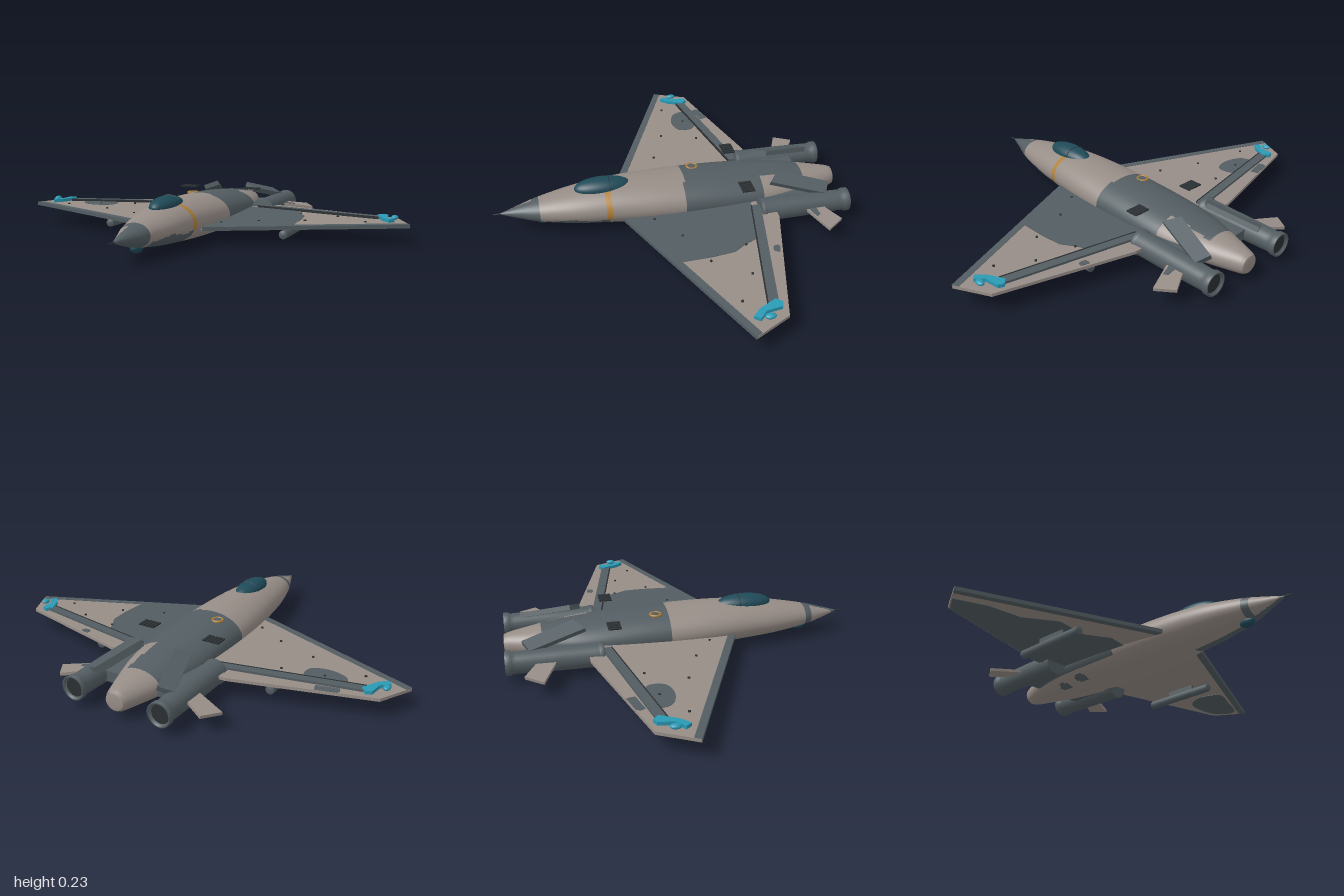
import * as THREE from 'three';

const mat = (name, color) => Object.assign(new THREE.MeshStandardMaterial({ color }), { name });
const light = mat('warmGrey', 0x978d87);
const dark = mat('slateGrey', 0x535d62);
const black = mat('nearBlack', 0x2b3033);
const glass = mat('canopyTeal', 0x1f4a58);
const cyan = mat('cyan', 0x2a9ab5);
const orange = mat('ochre', 0xb08038);

function add(parent, name, geometry, material, x = 0, y = 0, z = 0) {
  const mesh = new THREE.Mesh(geometry, material);
  mesh.name = name;
  mesh.position.set(x, y, z);
  parent.add(mesh);
  return mesh;
}

// Horizontal plate from [x, z] corners, bottom at y = 0; s mirrors it
function plate(points, thickness, s = 1) {
  const shape = new THREE.Shape(points.map(([x, z]) => new THREE.Vector2(s * x, -z)));
  return new THREE.ExtrudeGeometry(shape, { depth: thickness, bevelEnabled: false }).rotateX(-Math.PI / 2);
}

// Rounded camouflage patch through [x, z] points
function patch(points, thickness) {
  const curve = new THREE.CatmullRomCurve3(points.map(([x, z]) => new THREE.Vector3(x, 0, z)), true);
  return plate(curve.getPoints(40).slice(0, -1).map(p => [p.x, p.z]), thickness);
}

// Lathe along z from [radius, z] points, listed back to front
function turned(profile, segments = 32) {
  return new THREE.LatheGeometry(profile.map(([r, z]) => new THREE.Vector2(r, z)), segments).rotateX(Math.PI / 2);
}

// Fuselage stations: z, half width, bottom, top
const stations = [
  [0.80, 0.004, 0.100, 0.108], [0.71, 0.038, 0.073, 0.134], [0.62, 0.072, 0.052, 0.157],
  [0.46, 0.112, 0.031, 0.186], [0.30, 0.135, 0.019, 0.204], [0.12, 0.154, 0.009, 0.209],
  [-0.06, 0.163, 0.004, 0.206], [-0.24, 0.165, 0.005, 0.200], [-0.42, 0.160, 0.010, 0.187],
  [-0.56, 0.138, 0.017, 0.175], [-0.70, 0.096, 0.027, 0.157], [-0.81, 0.058, 0.037, 0.140],
  [-0.84, 0.046, 0.045, 0.130],
];

// Fuselage paint scheme: 0 light, 1 dark, 2 ochre band
function paint(x, y, z) {
  if (z > 0.62) return x > -0.012 || z < 0.655 ? 1 : 0;
  if (z > 0.29 && z < 0.318 && x > 0.055 && y > 0.085) return 2;
  if (z > 0.3 && z < 0.6 && x > 0.01 && y < 0.085 + 0.006 * Math.sin(z * 30)) return 1;
  if (x > 0.06 && y > 0.1 && z < -0.45) return 0;
  if (z < -0.07 + 0.05 * Math.max(0, x) && z > -0.67 && y > 0.06) return 1;
  const spots = [[-0.08, -0.48], [-0.1, -0.34], [0.1, -0.33]];
  if (y < 0.08 && spots.some(([a, b]) => Math.hypot(x - a, (z - b) * 0.7) < 0.026)) return 1;
  return 0;
}

function fuselageGeometry() {
  const rows = 150, cols = 64, pos = [], faces = [[], [], []];
  const upper = new THREE.CatmullRomCurve3(stations.map(([z, w, , t]) => new THREE.Vector3(w, t, z)), false, 'catmullrom');
  const lower = new THREE.CatmullRomCurve3(stations.map(([z, , b]) => new THREE.Vector3(0, b, z)), false, 'catmullrom');
  for (let i = 0; i <= rows; i++) {
    const u = upper.getPoint(i / rows), l = lower.getPoint(i / rows);
    for (let j = 0; j < cols; j++) {
      const a = j / cols * Math.PI * 2;
      pos.push(u.x * Math.cos(a), (u.y + l.y) / 2 + (u.y - l.y) / 2 * Math.sin(a), u.z);
    }
  }
  for (let i = 0; i < rows; i++) for (let j = 0; j < cols; j++) {
    const k = (j + 1) % cols, a = i * cols + j, b = i * cols + k, c = a + cols, d = b + cols;
    const mid = n => (pos[a * 3 + n] + pos[d * 3 + n]) / 2;
    faces[paint(mid(0), mid(1), mid(2))].push(a, c, b, b, c, d);
  }
  const g = new THREE.BufferGeometry();
  g.setAttribute('position', new THREE.Float32BufferAttribute(pos, 3));
  g.setIndex(faces.flat());
  let start = 0;
  faces.forEach((f, n) => { g.addGroup(start, f.length, n); start += f.length; });
  g.computeVertexNormals();
  return g;
}

export function createModel() {
  const model = new THREE.Group();
  model.name = 'jet';

  // Body, tail cap, nose probe and chin sensor
  add(model, 'fuselage', fuselageGeometry(), [light, dark, orange]);
  const cap = add(model, 'tailCap', new THREE.SphereGeometry(1, 24, 12), light, 0, 0.0875, -0.838);
  cap.scale.set(0.045, 0.042, 0.006);
  add(model, 'noseProbe', new THREE.CylinderGeometry(0.003, 0.004, 0.05, 10).rotateX(Math.PI / 2), black, 0, 0.104, 0.81);
  add(model, 'chinSensor', new THREE.SphereGeometry(0.026, 20, 14), glass, 0, 0.052, 0.605).scale.set(1, 1, 1.5);

  // Canopy with frame hoop
  add(model, 'canopy', new THREE.SphereGeometry(1, 36, 20), glass, 0, 0.192, 0.315).scale.set(0.058, 0.043, 0.135);
  const hoop = add(model, 'canopyFrame', new THREE.TorusGeometry(1, 0.03, 6, 36, Math.PI), black, 0, 0.192, 0.285);
  hoop.scale.set(0.057, 0.0425, 0.05);

  // Ring fitting on the back
  add(model, 'fillerRing', new THREE.TorusGeometry(0.024, 0.006, 8, 28).rotateX(Math.PI / 2), orange, -0.065, 0.197, -0.135);
  add(model, 'fillerCap', new THREE.CylinderGeometry(0.02, 0.02, 0.008, 24), dark, -0.065, 0.196, -0.135);

  // Wings share one slight incidence
  const wings = new THREE.Group();
  wings.name = 'wings';
  wings.position.y = 0.08;
  wings.rotation.x = 0.03;
  model.add(wings);
  const T = 0.014;
  for (const s of [1, -1]) {
    add(wings, 'wing', plate([[0.08, 0.26], [0.15, 0.23], [1, -0.14], [0.92, -0.3], [0.3, -0.47], [0.08, -0.47]], T, s), light);
    add(wings, 'leadingEdge', plate([[0.14, 0.238], [1, -0.137], [0.985, -0.165], [0.14, 0.2]], T + 0.004, s), dark, 0, -0.002);
    add(wings, 'flap', plate([[0.2, -0.365], [0.84, -0.235], [0.87, -0.275], [0.2, -0.41]], 0.01, s), dark, 0, T);
    add(wings, 'flapHinge', plate([[0.2, -0.362], [0.84, -0.232], [0.84, -0.237], [0.2, -0.367]], 0.012, s), black, 0, T);
    add(wings, 'tipLight', plate([[0.835, -0.27], [0.86, -0.295], [0.885, -0.285], [0.893, -0.215], [0.93, -0.18], [0.91, -0.155], [0.875, -0.19]]
      .map(([x, z]) => [x - 0.005, z]), 0.016, s), cyan, 0, T);
    add(wings, 'tipBulb', new THREE.SphereGeometry(1, 16, 12), cyan, s * 0.92, 0.03, -0.22).scale.set(0.016, 0.011, 0.024);
    for (const [x, z] of [[0.33, 0], [0.65, -0.23], [0.18, 0.1], [0.53, -0.08], [0.46, -0.26], [0.8, -0.14]])
      add(wings, 'fastener', new THREE.CylinderGeometry(0.006, 0.006, 0.006, 10), black, s * x, T + 0.002, z);
  }

  // Wing camouflage, above and below
  add(wings, 'leftTopCamo', plate([[0.13, 0.215], [0.505, 0.05], [0.505, -0.1], [0.495, -0.2], [0.46, -0.255], [0.43, -0.32], [0.13, -0.38]], 0.002), dark, 0, T);
  add(wings, 'rightTopCamo', patch([[-0.75, -0.29], [-0.62, -0.29], [-0.565, -0.26], [-0.57, -0.19], [-0.65, -0.165], [-0.74, -0.2]], 0.002), dark, 0, T);
  add(wings, 'rightRearCamo', plate([[-0.76, -0.33], [-0.75, -0.345], [-0.66, -0.368], [-0.65, -0.33], [-0.75, -0.305]], 0.002), dark, 0, T);
  add(wings, 'leftRearCamo', patch([[0.5, -0.4], [0.54, -0.39], [0.53, -0.37], [0.5, -0.375]], 0.002), dark, 0, T);
  add(wings, 'leftLowerCamo', patch([[0.7, -0.28], [0.9, -0.27], [0.94, -0.17], [0.8, -0.1], [0.66, -0.06], [0.63, -0.18]], 0.002), dark, 0, -0.002);
  add(wings, 'rightLowerCamo', plate([[-0.12, -0.46], [-0.3, -0.465], [-0.91, -0.298], [-0.96, -0.21], [-0.82, -0.15], [-0.66, -0.13],
    [-0.52, -0.03], [-0.36, -0.05], [-0.25, 0.02], [-0.12, 0]], 0.002), dark, 0, -0.002);

  for (const s of [1, -1]) {
    // Engine pod with flared nozzle and recessed exhaust
    add(model, 'engine', turned([[0, -0.825], [0.044, -0.825], [0.047, -0.84], [0.056, -0.84], [0.056, -0.815], [0.05, -0.812], [0.05, -0.79],
      [0.051, -0.76], [0.054, -0.6], [0.055, -0.425], [0.059, -0.423], [0.059, -0.405], [0.055, -0.4], [0, -0.4]]), dark, s * 0.215, 0.09, 0);
    add(model, 'exhaust', new THREE.CylinderGeometry(0.043, 0.043, 0.004, 28).rotateX(Math.PI / 2), black, s * 0.215, 0.09, -0.826);
    add(model, 'engineMount', new THREE.BoxGeometry(0.1, 0.05, 0.26), dark, s * 0.14, 0.09, -0.55);

    // Canted tail fin lying along the shoulder
    const fin = add(model, 'tailFin', plate([[0.01, -0.145], [0.075, -0.115], [-0.005, 0.145], [-0.07, 0.095]], 0.024, s), dark, s * 0.14, 0.16, -0.615);
    fin.rotation.set(-0.08, 0, -s * 0.42);

    // Tailplane, drooping a little
    const tail = add(model, 'tailplane', plate([[0, -0.62], [0.02, -0.62], [0.16, -0.68], [0.105, -0.76], [0.02, -0.71], [0, -0.71]], 0.014, s), light, s * 0.25, 0.088, 0);
    tail.rotation.z = -s * 0.12;
    if (s > 0) add(tail, 'tailplaneCamo', plate([[0.01, -0.63], [0.07, -0.65], [0.06, -0.67], [0.01, -0.665]], 0.002), dark, 0, 0.014, 0);

    // Slatted vent
    for (let i = -2; i <= 2; i++)
      add(model, 'ventSlat', new THREE.BoxGeometry(0.013, 0.006, 0.06), black, s * 0.17 + i * 0.017, 0.205, -0.345);
    add(model, 'ventBar', new THREE.BoxGeometry(0.08, 0.003, 0.008), black, s * 0.17, 0.203, -0.345);

    // Underwing store and its pylon
    add(model, 'store', turned([[0, -0.362], [0.019, -0.36], [0.021, -0.355], [0.021, 0.022], [0.018, 0.028], [0, 0.03]], 20), dark, s * 0.455, 0.04, 0);
    add(model, 'pylon', new THREE.BoxGeometry(0.01, 0.03, 0.16), dark, s * 0.455, 0.068, -0.16);
  }
  return model;
}
